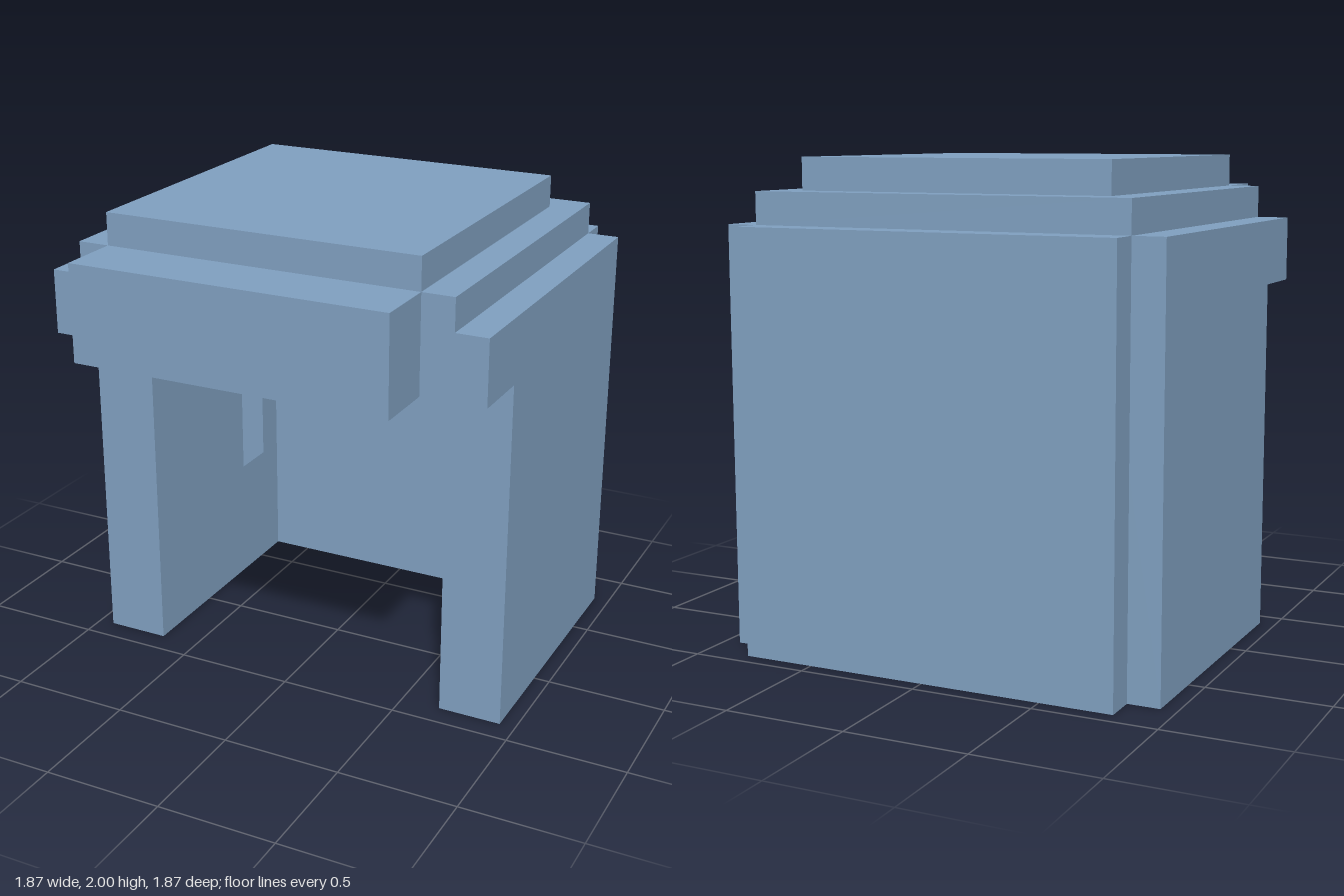
import * as THREE from 'three';

const U = 2 / 15; // one block unit

const rect = (x0, y0, x1, y1) => [[x0, y0], [x1, y0], [x1, y1], [x0, y1]];
const toVectors = (points) => points.map(([x, y]) => new THREE.Vector2(x * U, y * U));

// Flat sheet at depth w, facing +w or -w
function sheet(points, w, facing, holes = []) {
  const shape = new THREE.Shape(toVectors(points));
  holes.forEach((h) => shape.holes.push(new THREE.Path(toVectors(h))));
  const g = new THREE.ShapeGeometry(shape);
  if (facing < 0) {
    const index = g.index.array;
    for (let i = 0; i < index.length; i += 3) [index[i], index[i + 1]] = [index[i + 1], index[i]];
    g.computeVertexNormals();
  }
  return g.translate(0, 0, w * U);
}

// Rim walls around an outline, from depth w0 to w1
function rim(points, w0, w1) {
  const p = toVectors(points);
  if (THREE.ShapeUtils.isClockWise(p)) p.reverse();
  const v = [];
  p.forEach((a, i) => {
    const b = p[(i + 1) % p.length];
    const z0 = w0 * U, z1 = w1 * U;
    v.push(a.x, a.y, z0, b.x, b.y, z0, b.x, b.y, z1);
    v.push(a.x, a.y, z0, b.x, b.y, z1, a.x, a.y, z1);
  });
  const g = new THREE.BufferGeometry();
  g.setAttribute('position', new THREE.Float32BufferAttribute(v, 3));
  g.computeVertexNormals();
  return g;
}

export function createModel() {
  const model = new THREE.Group();
  const blue = new THREE.MeshStandardMaterial({ color: 0x7f9fbf, side: THREE.DoubleSide });
  blue.name = 'dusty blue';

  const add = (parent, name, geometry) => {
    const mesh = new THREE.Mesh(geometry, blue);
    mesh.name = name;
    parent.add(mesh);
  };
  const block = (name, [x0, y0, z0], [x1, y1, z1]) => {
    const g = new THREE.BoxGeometry((x1 - x0) * U, (y1 - y0) * U, (z1 - z0) * U);
    g.translate((x0 + x1) * U / 2, (y0 + y1) * U / 2, (z0 + z1) * U / 2);
    add(model, name, g);
  };

  // Stepped top and brow
  block('crownLower', [-6, 13, -6], [6, 14, 5]);
  block('crownUpper', [-5, 14, -5], [5, 15, 5]);
  block('brow', [-5, 11, 5], [5, 14, 7]);

  // Hollow side walls, each with an open inner window; points are (z, y)
  const sideOutline = [[-6, 0], [3, 0], [3, 11], [5, 11], [5, 13], [-6, 13]];
  const sideInner = [[-6, 0], [3, 0], [3, 4], [-4, 4], [-4, 12], [4, 12], [4, 11], [5, 11], [5, 13], [-6, 13]];
  for (const s of [1, -1]) {
    const side = new THREE.Group();
    side.name = s > 0 ? 'leftSide' : 'rightSide';
    side.rotation.y = s * Math.PI / 2;
    const place = (points) => points.map(([z, y]) => [-s * z, y]);
    add(side, 'sideOuterFace', sheet(place(sideOutline), 7, 1));
    add(side, 'sideInnerFace', sheet(place(sideInner), 5, -1));
    add(side, 'sideRim', rim(place(sideOutline), 5, 7));
    model.add(side);
  }

  // Hollow back wall with an open inner window
  const back = new THREE.Group();
  back.name = 'back';
  back.rotation.y = Math.PI;
  const backOutline = rect(-6, 0, 6, 13);
  add(back, 'backOuterFace', sheet(backOutline, 7, 1));
  add(back, 'backRim', rim(backOutline, 6, 7));
  add(back, 'backInnerFace', sheet(rect(-5, 0, 5, 13), 5, -1, [rect(-4, 3, 4, 12)]));
  model.add(back);

  // Underside strip joining the back wall to its inner face
  const strip = new THREE.PlaneGeometry(10 * U, U).rotateX(Math.PI / 2);
  add(model, 'backUnderside', strip.translate(0, 0, -5.5 * U));

  return model;
}
